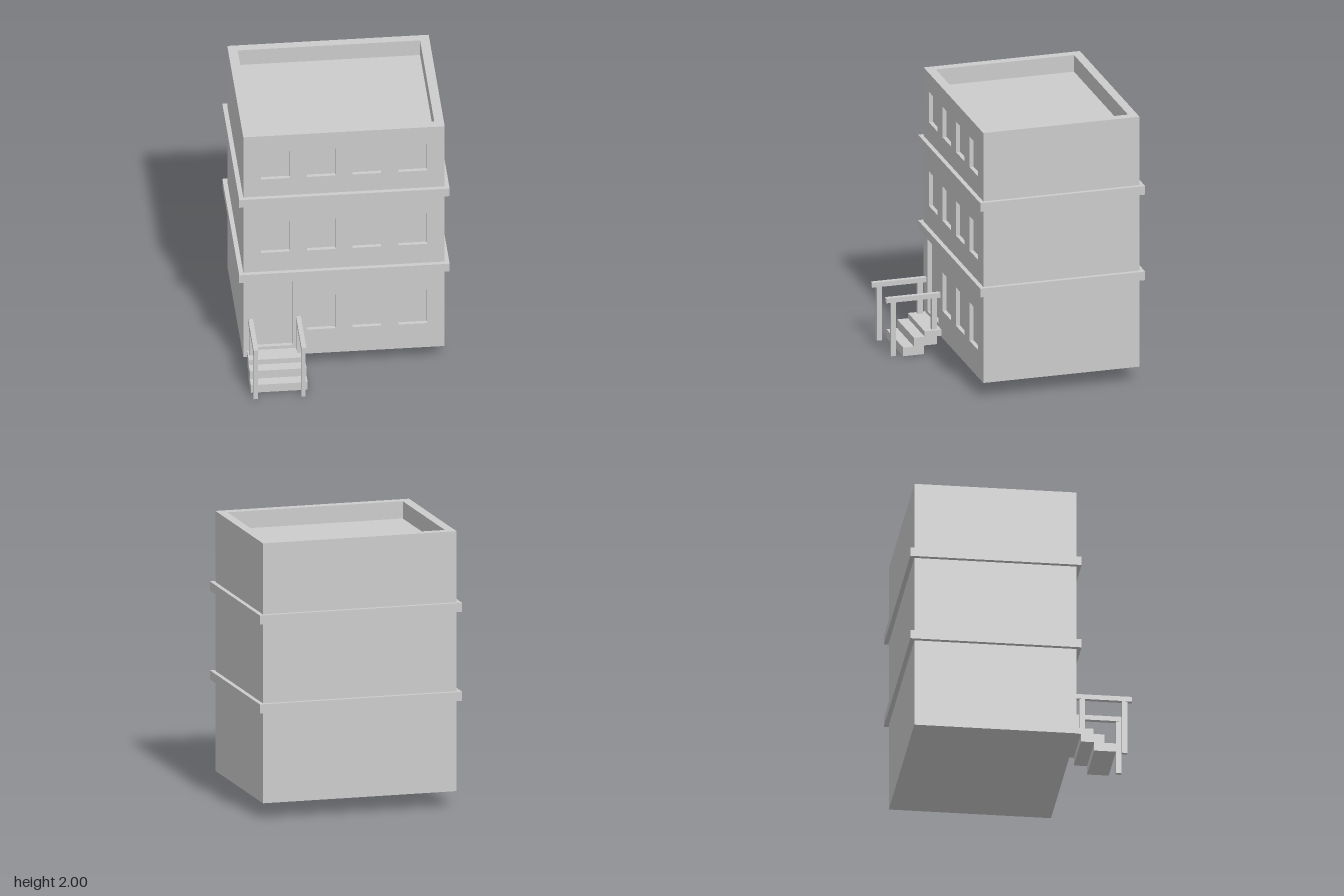
import * as THREE from 'three';

const material = new THREE.MeshStandardMaterial({ color: 0xcccccc, flatShading: true });

function add(parent, name, geometry) {
  const mesh = new THREE.Mesh(geometry, material);
  mesh.name = name;
  parent.add(mesh);
  return mesh;
}

// Box given by its limits on each axis
function block(parent, name, [x0, x1], [y0, y1], [z0, z1]) {
  const mesh = add(parent, name, new THREE.BoxGeometry(x1 - x0, y1 - y0, z1 - z0));
  mesh.position.set((x0 + x1) / 2, (y0 + y1) / 2, (z0 + z1) / 2);
  return mesh;
}

const rectPoints = (x0, x1, y0, y1) => [[x0, y0], [x1, y0], [x1, y1], [x0, y1]].map(p => new THREE.Vector2(...p));

// Rectangular plate with rectangular holes, extruded along +z
function plate(outline, holes, depth) {
  const shape = new THREE.Shape(rectPoints(...outline));
  shape.holes = holes.map(h => new THREE.Path(rectPoints(...h)));
  return new THREE.ExtrudeGeometry(shape, { depth, bevelEnabled: false });
}

export function createModel() {
  const model = new THREE.Group();
  model.name = 'townBuilding';

  const halfW = 0.718, base = 0.115, top = 2, roof = 1.875;
  const back = -0.765, front = 0.395, recess = 0.03;
  const inner = front - recess;

  // Solid core: its front face forms the window panes and door
  block(model, 'buildingCore', [-halfW, halfW], [base, roof], [back, inner]);

  // Front wall with window and door openings
  const openings = [[-0.62, -0.365, 0.195, 0.74]];
  const floors = [[0.32, 0.61], [1.0, 1.26], [1.63, 1.86]];
  const columns = [-0.49, -0.163, 0.163, 0.49];
  floors.forEach(([y0, y1], floor) => columns.forEach((x, column) => {
    if (floor > 0 || column > 0) openings.push([x - 0.102, x + 0.102, y0, y1]);
  }));
  add(model, 'frontWall', plate([-halfW, halfW, base, top], openings, recess)).position.z = inner;

  // Parapet around the sunken roof
  const parapet = plate([-halfW, halfW, -inner, -back], [[-0.65, 0.65, -0.325, 0.7]], top - roof);
  add(model, 'parapet', parapet.rotateX(-Math.PI / 2)).position.y = roof;

  // Ledges between the floors
  for (const y of [0.775, 1.42]) {
    block(model, 'floorLedge', [-0.75, 0.75], [y, y + 0.065], [back - 0.032, front + 0.032]);
  }

  // Entrance steps, side profile as (z, y)
  const profile = [
    [0.68, 0], [0.68, 0.065], [0.6, 0.065], [0.6, 0.13], [0.52, 0.13], [0.52, 0.17],
    [0.39, 0.17], [0.39, 0.125], [0.43, 0.125], [0.43, 0.065], [0.525, 0.065], [0.525, 0],
  ].map(p => new THREE.Vector2(...p));
  const steps = new THREE.ExtrudeGeometry(new THREE.Shape(profile), { depth: 0.405, bevelEnabled: false });
  add(model, 'entranceSteps', steps.rotateY(-Math.PI / 2)).position.x = -0.287;

  // Handrails on both sides of the steps
  for (const x of [-0.666, -0.325]) {
    const railing = new THREE.Group();
    railing.name = 'railing';
    model.add(railing);
    block(railing, 'handrail', [x - 0.017, x + 0.017], [0.404, 0.44], [front, 0.798]);
    block(railing, 'frontPost', [x - 0.015, x + 0.015], [0, 0.404], [0.725, 0.763]);
    block(railing, 'backPost', [x - 0.015, x + 0.015], [0.17, 0.404], [0.42, 0.46]);
  }

  return model;
}
